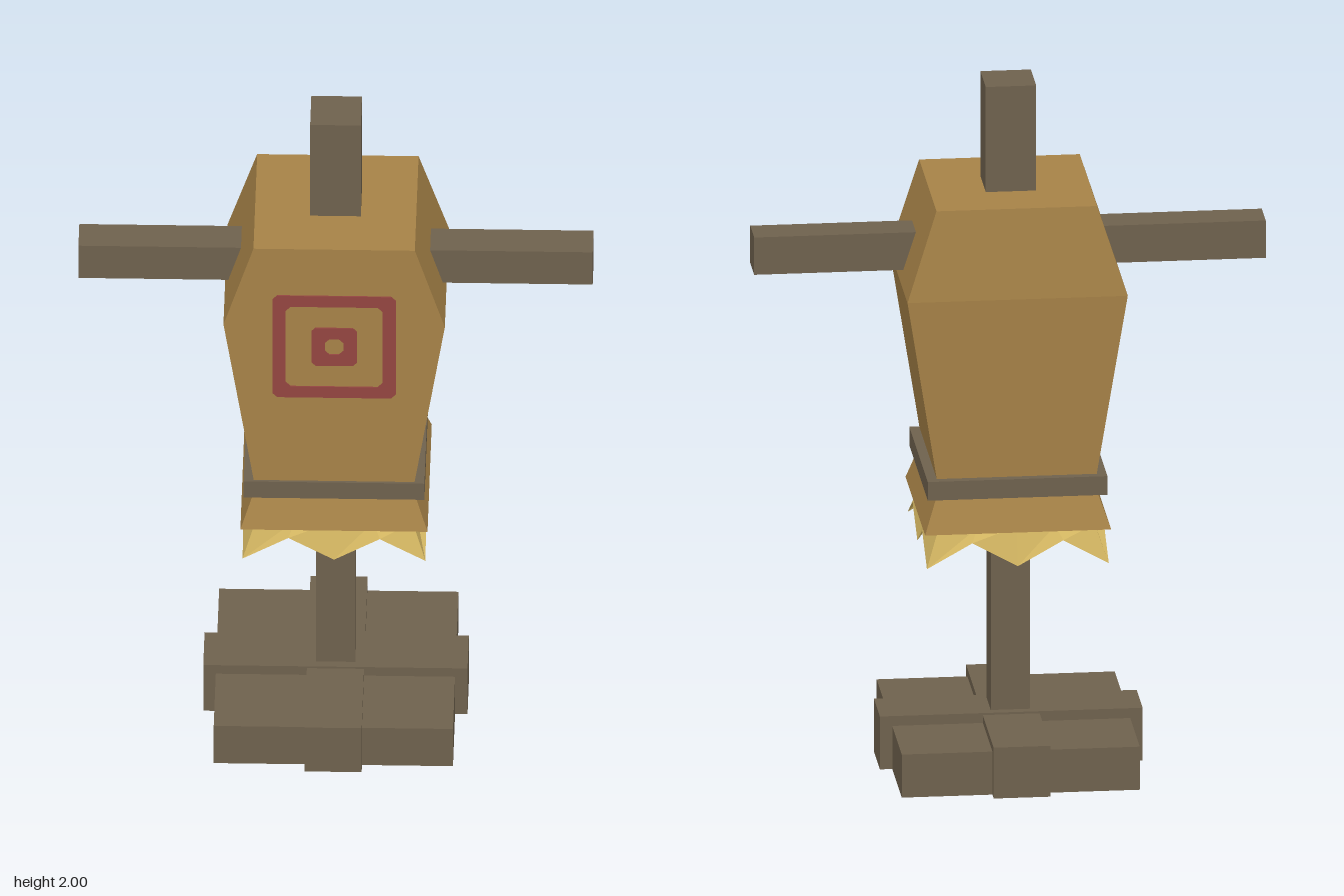
import * as THREE from 'three';

const material = (name, color, extra = {}) => {
  const m = new THREE.MeshStandardMaterial({ color, flatShading: true, ...extra });
  m.name = name;
  return m;
};

// Rectangular loft through rings of [y, halfWidth, zFront, zBack], closed at both ends
function loft(rings) {
  const pos = [];
  const corners = rings.map(([y, w, f, b]) => [[-w, y, f], [w, y, f], [w, y, b], [-w, y, b]]);
  const quad = (a, b, c, d) => pos.push(...a, ...b, ...c, ...a, ...c, ...d);
  for (let r = 0; r < rings.length - 1; r++) {
    for (let i = 0; i < 4; i++) {
      const j = (i + 1) % 4;
      quad(corners[r][i], corners[r][j], corners[r + 1][j], corners[r + 1][i]);
    }
  }
  const [a, b, c, d] = corners[0];
  quad(d, c, b, a);
  quad(...corners[corners.length - 1]);
  return toGeometry(pos);
}

function toGeometry(pos) {
  const g = new THREE.BufferGeometry();
  g.setAttribute('position', new THREE.Float32BufferAttribute(pos, 3));
  g.computeVertexNormals();
  return g;
}

// Square outline with small clipped corners
function clippedSquare(Kind, h, c) {
  const p = [[-h + c, -h], [h - c, -h], [h, -h + c], [h, h - c], [h - c, h], [-h + c, h], [-h, h - c], [-h, -h + c]];
  return new Kind(p.map(([x, y]) => new THREE.Vector2(x, y)));
}

function targetRing(outer, inner, clip) {
  const shape = clippedSquare(THREE.Shape, outer, clip);
  shape.holes.push(clippedSquare(THREE.Path, inner, clip));
  return new THREE.ExtrudeGeometry(shape, { depth: 0.004, bevelEnabled: false });
}

// Flared zigzag fringe around four sides
function fringe() {
  const pos = [], top = 0.22, low = 0.256, n = 4;
  for (let side = 0; side < 4; side++) {
    const a = side * Math.PI / 2, cos = Math.cos(a), sin = Math.sin(a);
    const point = (t, half, y) => {
      const x = t * half;
      return [x * cos + half * sin, y, -x * sin + half * cos];
    };
    for (let i = 0; i < n; i++) {
      const t0 = -1 + 2 * i / n, t1 = -1 + 2 * (i + 1) / n;
      const y0 = i % 2 ? 0.717 : 0.645, y1 = i % 2 ? 0.645 : 0.717;
      const A = point(t0, low, y0), B = point(t1, low, y1);
      const C = point(t1, top, 0.75), D = point(t0, top, 0.75);
      pos.push(...A, ...B, ...C, ...A, ...C, ...D);
    }
  }
  return toGeometry(pos);
}

export function createModel() {
  const group = new THREE.Group();
  group.name = 'trainingDummy';
  const wood = material('wood', 0x6e614d);
  const burlap = material('burlap', 0xa68247);
  const straw = material('straw', 0xd0b360, { side: THREE.DoubleSide });
  const red = material('red paint', 0x934540);

  const add = (name, geometry, mat, x = 0, y = 0, z = 0) => {
    const mesh = new THREE.Mesh(geometry, mat);
    mesh.name = name;
    mesh.position.set(x, y, z);
    group.add(mesh);
    return mesh;
  };
  const box = (name, w, y0, y1, d, x = 0, z = 0) =>
    add(name, new THREE.BoxGeometry(w, y1 - y0, d), wood, x, (y0 + y1) / 2, z);

  // Base slab with crossed planks
  box('baseSlab', 0.67, 0, 0.127, 0.67);
  box('basePlankAcross', 0.74, 0, 0.156, 0.16);
  box('basePlankAlong', 0.16, 0, 0.15, 0.74);

  // Posts and arms
  box('lowerPost', 0.11, 0.12, 0.76, 0.11);
  box('upperPost', 0.142, 1.66, 2, 0.142);
  for (const s of [1, -1]) {
    box(s > 0 ? 'leftArm' : 'rightArm', 0.5, 1.46, 1.57, 0.106, s * 0.47, 0.008);
  }

  // Sack body, belt and skirt
  add('body', loft([[0.88, 0.222, 0.236, -0.225], [1.43, 0.31, 0.236, -0.25], [1.69, 0.226, 0.236, -0.226]]), burlap);
  box('belt', 0.506, 0.845, 0.9, 0.494, 0, -0.003);
  add('skirt', loft([[0.747, 0.262, 0.26, -0.264], [0.86, 0.222, 0.222, -0.225]]), burlap);
  add('strawFringe', fringe(), straw);

  // Painted target
  add('targetOuterRing', targetRing(0.173, 0.136, 0.014), red, 0, 1.36, 0.2365);
  add('targetInnerRing', targetRing(0.064, 0.026, 0.012), red, 0, 1.36, 0.2365);

  return group;
}
